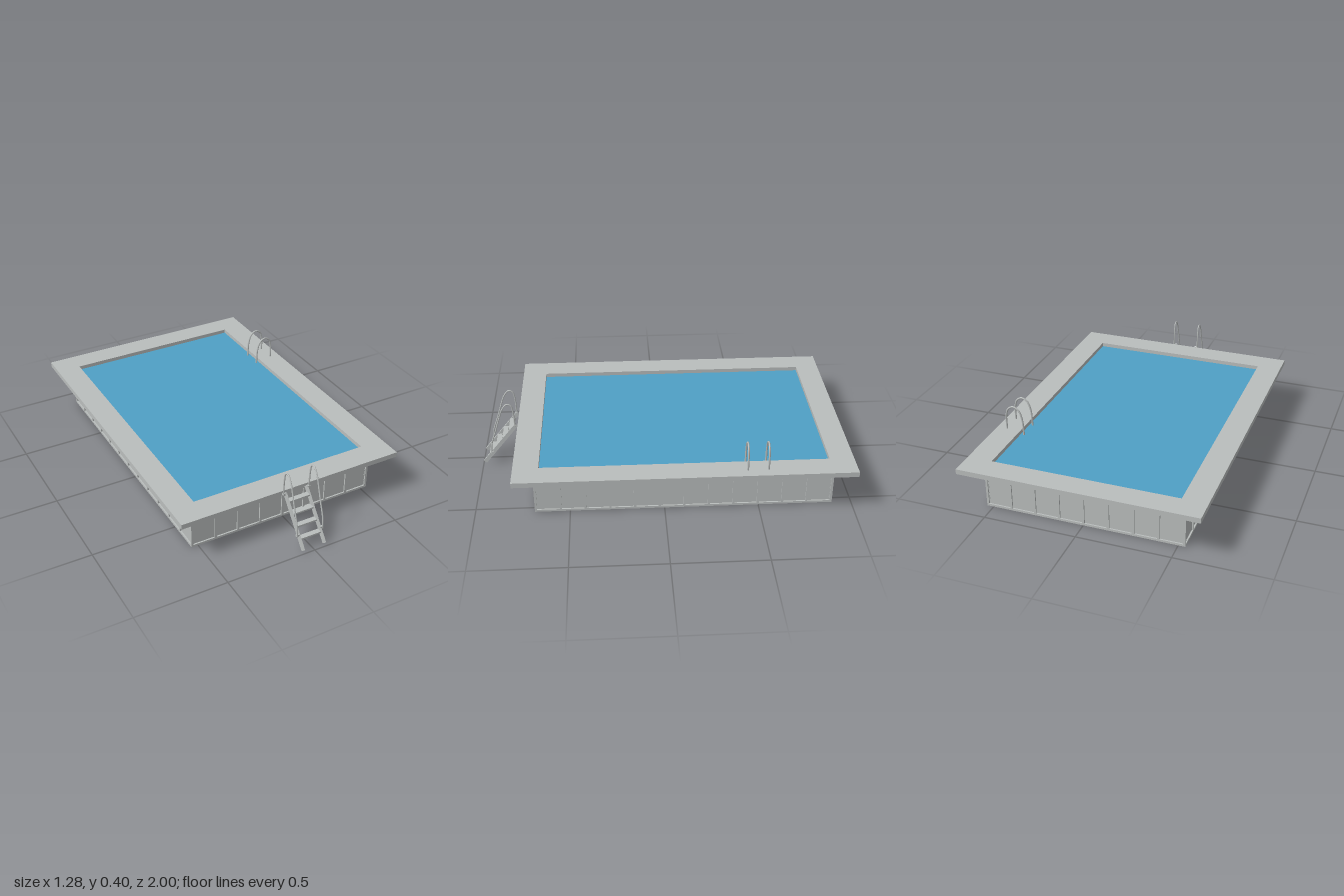
import * as THREE from 'three';

const mat = (name, color) => {
  const m = new THREE.MeshStandardMaterial({ color });
  m.name = name;
  return m;
};

export function createModel() {
  const model = new THREE.Group();
  model.name = 'swimmingPool';
  const grey = mat('paleGrey', 0xbabebd);
  const water = mat('waterBlue', 0x4fa0c5);
  const liner = mat('linerBlue', 0x2f6ca6);

  const add = (parent, name, geo, material, x = 0, y = 0, z = 0) => {
    const m = new THREE.Mesh(geo, material);
    m.name = name;
    m.position.set(x, y, z);
    parent.add(m);
    return m;
  };
  const box = (parent, name, w, h, d, x, y, z, material = grey) =>
    add(parent, name, new THREE.BoxGeometry(w, h, d), material, x, y, z);
  const tube = (parent, name, pts, r) => add(parent, name, new THREE.TubeGeometry(
    new THREE.CatmullRomCurve3(pts.map((p) => new THREE.Vector3(...p))), 40, r, 8), grey);
  // square bar between two points in the plane x = const
  const bar = (parent, name, x, y0, z0, y1, z1, w, t) => {
    const m = box(parent, name, w, t, Math.hypot(y1 - y0, z1 - z0), x, (y0 + y1) / 2, (z0 + z1) / 2);
    m.rotation.x = -Math.atan2(y1 - y0, z1 - z0);
    return m;
  };

  const CZ = -0.105; // centre of the basin along z
  const HX = 0.537, HZ = 0.792, DECK = 0.23, TOP = 0.258;

  // Deck: rectangular ring with the pool opening
  const rect = (S, x, z0, z1) => {
    const s = new S();
    s.moveTo(-x, -z1); s.lineTo(x, -z1); s.lineTo(x, -z0); s.lineTo(-x, -z0); s.closePath();
    return s;
  };
  const ring = rect(THREE.Shape, 0.64, -1, 0.79);
  ring.holes.push(rect(THREE.Path, 0.505, -0.87, 0.655));
  const deckGeo = new THREE.ExtrudeGeometry(ring, { depth: TOP - DECK, bevelEnabled: false });
  deckGeo.rotateX(-Math.PI / 2);
  add(model, 'deck', deckGeo, grey, 0, DECK, 0);

  // Water and basin floor
  box(model, 'water', 1.03, 0.008, 1.55, 0, 0.232, CZ, water);
  box(model, 'basinFloor', 1.052, 0.006, 1.562, 0, 0.005, CZ, liner);

  // One wall, built facing +z: panel, rails, ribs and deck braces
  const wall = (name, half, dist, panels, braces, angle) => {
    const g = new THREE.Group();
    g.name = name;
    g.position.z = CZ;
    g.rotation.y = angle;
    box(g, 'panel', 2 * half - 0.014, DECK, 0.008, 0, DECK / 2, dist - 0.012);
    box(g, 'bottomRail', 2 * half, 0.012, 0.012, 0, 0.006, dist - 0.006);
    box(g, 'topRail', 2 * half, 0.01, 0.012, 0, DECK - 0.005, dist - 0.006);
    for (let i = 0; i <= panels; i++) {
      const x = (half - 0.006) * (2 * i / panels - 1);
      box(g, 'rib', 0.012, DECK, 0.012, x, DECK / 2, dist - 0.006);
    }
    const n = (braces - 1) / 2;
    for (let i = -n; i <= n; i++) {
      const x = i * 0.25;
      bar(g, 'brace', x, 0.195, dist - 0.004, DECK - 0.002, dist + 0.052, 0.007, 0.007);
      box(g, 'braceFoot', 0.01, 0.018, 0.004, x, 0.2, dist - 0.006);
      box(g, 'bracePlate', 0.012, 0.004, 0.035, x, DECK - 0.002, dist + 0.045);
    }
    model.add(g);
  };
  wall('frontWall', HX, HZ, 8, 5, 0);
  wall('backWall', HX, HZ, 8, 5, Math.PI);
  wall('leftWall', HZ, HX, 12, 7, Math.PI / 2);
  wall('rightWall', HZ, HX, 12, 7, -Math.PI / 2);

  // Outer ladder leaning on the front edge of the deck
  const ladder = new THREE.Group();
  ladder.name = 'outerLadder';
  model.add(ladder);
  for (const s of [-1, 1]) {
    const x = s * 0.063;
    bar(ladder, 'stringer', x, 0.25, 0.8, 0.015, 0.99, 0.01, 0.022);
    tube(ladder, 'handrail', [
      [s * 0.076, 0.075, 0.948], [s * 0.076, 0.14, 0.942], [s * 0.076, 0.22, 0.915],
      [s * 0.076, 0.29, 0.893], [s * 0.076, 0.36, 0.868], [s * 0.076, 0.392, 0.84],
      [s * 0.076, 0.382, 0.818], [s * 0.076, 0.33, 0.808], [s * 0.076, 0.25, 0.805],
    ], 0.004);
    for (const [y, z] of [[0.082, 0.944], [0.248, 0.806]])
      box(ladder, 'clamp', 0.018, 0.012, 0.012, s * 0.071, y, z);
  }
  for (let i = 0; i < 4; i++) {
    const y = 0.064 + i * 0.0515;
    box(ladder, 'tread', 0.118, 0.009, 0.028, 0, y, 0.947 - i * 0.0395);
  }

  // Pair of grab rails over the left edge
  for (const z of [-0.428, -0.536])
    tube(model, 'grabRail', [
      [0.486, 0.2, z], [0.487, 0.26, z], [0.493, 0.33, z], [0.51, 0.376, z], [0.541, 0.394, z],
      [0.571, 0.377, z], [0.584, 0.335, z], [0.584, 0.25, z],
    ], 0.005);

  return model;
}
